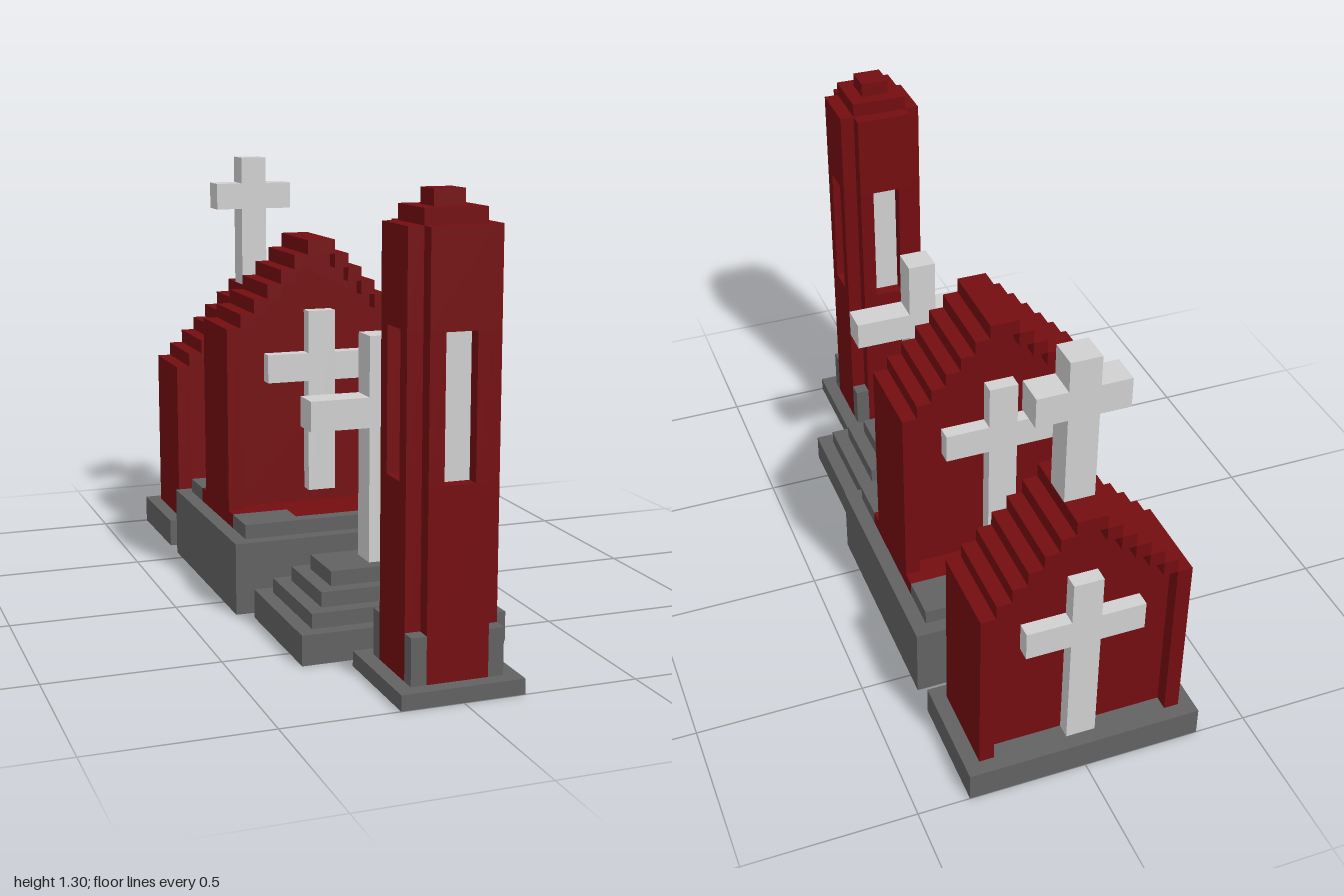
import * as THREE from 'three';

const U = 2 / 46; // one block

const stone = new THREE.MeshStandardMaterial({ color: 0x626262 });
stone.name = 'grey stone';
const brick = new THREE.MeshStandardMaterial({ color: 0x740d10 });
brick.name = 'dark red brick';
const pale = new THREE.MeshStandardMaterial({ color: 0xd0d0d0 });
pale.name = 'pale stone';

// Box given by its extents in blocks
function box(parent, name, mat, x0, x1, y0, y1, z0, z1) {
  const mesh = new THREE.Mesh(new THREE.BoxGeometry(x1 - x0, y1 - y0, z1 - z0), mat);
  mesh.position.set((x0 + x1) / 2, (y0 + y1) / 2, (z0 + z1) / 2);
  mesh.name = name;
  parent.add(mesh);
  return mesh;
}

function group(parent, name, z = 0) {
  const g = new THREE.Group();
  g.name = name;
  g.position.z = z;
  parent.add(g);
  return g;
}

// Cross: post plus two arms, two blocks thick in x
function cross(parent, name, y0, y1, armY, reach, z0, z1) {
  const g = group(parent, name);
  box(g, 'crossPost', pale, -1, 1, y0, y1, z0, z1);
  box(g, 'crossArmRight', pale, -reach, -1, armY, armY + 2, z0, z1);
  box(g, 'crossArmLeft', pale, 1, reach, armY, armY + 2, z0, z1);
}

// Stepped gable outline that climbs one block per column
function gableShape(half, floor, eave) {
  const pts = [new THREE.Vector2(-half, floor), new THREE.Vector2(half, floor)];
  for (let i = 0; i < half; i++) {
    pts.push(new THREE.Vector2(half - i, eave + i));
    if (i < half - 1) pts.push(new THREE.Vector2(half - i - 1, eave + i));
  }
  for (let i = half - 1; i >= 0; i--) {
    pts.push(new THREE.Vector2(-(half - i), eave + i));
    if (i > 0) pts.push(new THREE.Vector2(-(half - i), eave + i - 1));
  }
  return new THREE.Shape(pts);
}

// Chapel: recessed gable wall, corner pillars, stepped roof, a cross on each face
function chapelBody(parent, floor, eave) {
  const wall = new THREE.Mesh(
    new THREE.ExtrudeGeometry(gableShape(6, floor, eave), { depth: 4, bevelEnabled: false }), brick);
  wall.position.z = -2;
  wall.name = 'gableWall';
  parent.add(wall);
  for (const s of [-1, 1]) {
    const span = (a, b) => (s > 0 ? [a, b] : [-b, -a]);
    box(parent, 'sideWall', brick, ...span(6, 7), floor, eave, -3, 3);
    for (let i = 1; i < 6; i++) {
      box(parent, 'roofStep', brick, ...span(6 - i, 7 - i), eave + i - 1, eave + i, -3, 3);
    }
    cross(parent, s > 0 ? 'frontCross' : 'backCross', eave - 12, eave + 1, eave - 4, 4,
      s > 0 ? 2 : -3, s > 0 ? 3 : -2);
  }
  box(parent, 'roofRidge', brick, -1, 1, eave + 5, eave + 6, -3, 3);
}

function buildTower(parent) {
  const g = group(parent, 'tower', 19);
  box(g, 'towerBase', stone, -4, 4, 0, 1, -4, 4);
  box(g, 'towerCore', brick, -2, 2, 1, 29, -2, 2);
  box(g, 'towerCap', brick, -1, 1, 29, 30, -1, 1);
  for (let i = 0; i < 4; i++) {
    const side = group(g, 'towerSide');
    side.rotation.y = i * Math.PI / 2;
    // wall slab with a window opening
    box(side, 'lowerWall', brick, -2, 2, 1, 13, 2, 3);
    box(side, 'upperWall', brick, -2, 2, 22, 28, 2, 3);
    box(side, 'windowJamb', brick, -2, -1, 13, 22, 2, 3);
    box(side, 'windowJamb', brick, 1, 2, 13, 22, 2, 3);
    box(side, 'window', pale, -1, 1, 13, 22, 1.9, 2.1);
    box(side, 'cornerStone', stone, 2, 3, 1, 4, 2, 3);
  }
}

function buildMonument(parent) {
  const g = group(parent, 'steppedMonument', 9);
  box(g, 'plinth', stone, -7, 7, 0, 2, -5, 5);
  for (let i = 1; i < 4; i++) {
    box(g, 'plinthStep', stone, i - 7, 7 - i, i + 1, i + 2, i - 5, 5 - i);
  }
  cross(g, 'monumentCross', 5, 20, 14, 5, -1, 1);
}

function buildMainChapel(parent) {
  const g = group(parent, 'mainChapel', -5);
  box(g, 'chapelBase', stone, -8, 8, 0, 5, -8, 8);
  box(g, 'floor', brick, -7, 7, 5, 6, -4, 4);
  for (let i = 0; i < 2; i++) {
    const porch = group(g, i ? 'backPorch' : 'frontPorch');
    porch.rotation.y = i * Math.PI;
    box(porch, 'porchFloor', brick, -3, 3, 5, 6, 4, 6);
    box(porch, 'porchStone', stone, -7, -3, 5, 6, 4, 6);
    box(porch, 'porchStone', stone, 3, 7, 5, 6, 4, 6);
    box(porch, 'porchEdge', stone, -7, 7, 5, 6, 6, 7);
  }
  chapelBody(g, 6, 19);
}

function buildRearChapel(parent) {
  const g = group(parent, 'rearChapel', -19);
  box(g, 'chapelBase', stone, -8, 8, 0, 2, -4, 4);
  chapelBody(g, 2, 14);
  cross(g, 'roofCross', 20, 30, 26, 3, -1, 1);
}

export function createModel() {
  const model = new THREE.Group();
  model.name = 'chapelRow';
  buildTower(model);
  buildMonument(model);
  buildMainChapel(model);
  buildRearChapel(model);
  model.scale.setScalar(U);
  return model;
}
